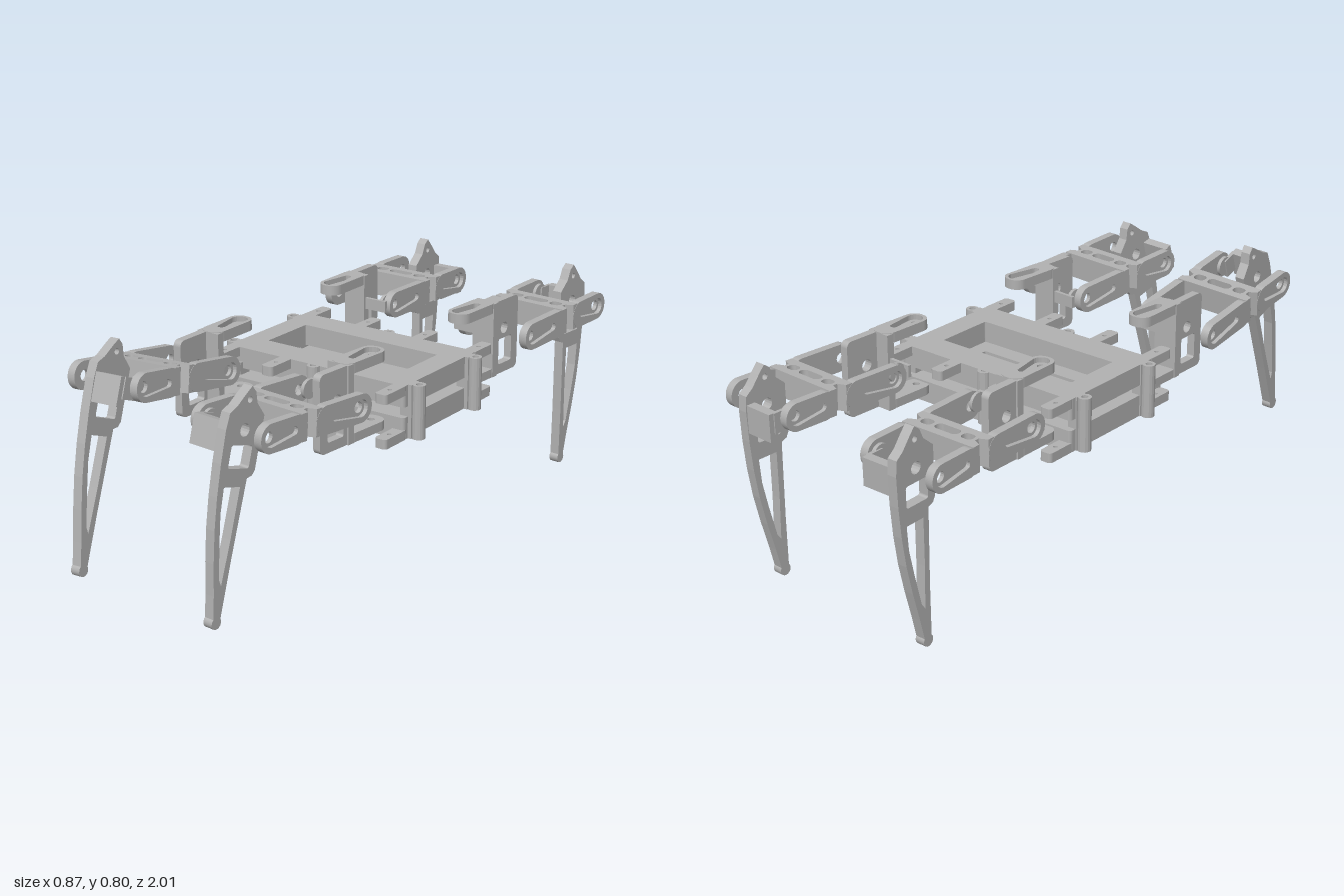
import * as THREE from 'three';

const grey = new THREE.MeshStandardMaterial({ color: 0xb0b0b0 });
grey.name = 'grey plastic';

const mesh = (name, geometry) => {
  const m = new THREE.Mesh(geometry, grey);
  m.name = name;
  return m;
};
const poly = (pts, Type = THREE.Shape) => new Type(pts.map(([a, b]) => new THREE.Vector2(a, b)));

// Rounded rectangle, optionally as a hole
function rounded(x0, y0, x1, y1, r, Type = THREE.Shape) {
  const s = new Type();
  s.moveTo(x0 + r, y0);
  s.lineTo(x1 - r, y0);
  s.absarc(x1 - r, y0 + r, r, -Math.PI / 2, 0);
  s.absarc(x1 - r, y1 - r, r, 0, Math.PI / 2);
  s.absarc(x0 + r, y1 - r, r, Math.PI / 2, Math.PI);
  s.absarc(x0 + r, y0 + r, r, Math.PI, Math.PI * 1.5);
  return s;
}
const slot = (x0, y0, x1, y1, r) => rounded(x0, y0, x1, y1, r, THREE.Path);
function disc(x, y, r, Type = THREE.Path) {
  const p = new Type();
  p.absarc(x, y, r, 0, Math.PI * 2);
  return p;
}
// Teardrop pocket for a servo arm: big end at the joint, small end at distance len (may be negative)
function teardrop(x, len, vertical) {
  const pts = [];
  for (let i = 0; i <= 10; i++) {
    const a = Math.PI / 2 + (Math.PI * i) / 10;
    pts.push([x + Math.sign(len) * 0.028 * Math.cos(a), 0.028 * Math.sin(a)]);
  }
  for (let i = 0; i <= 6; i++) {
    const a = -Math.PI / 2 + (Math.PI * i) / 6;
    pts.push([x + len + Math.sign(len) * 0.013 * Math.cos(a), 0.013 * Math.sin(a)]);
  }
  return poly(vertical ? pts.map(([a, b]) => [b, a]) : pts, THREE.Path);
}

function extrude(shape, depth, holes) {
  shape.holes.push(...holes);
  return new THREE.ExtrudeGeometry(shape, { depth, bevelEnabled: false, curveSegments: 8 });
}
// Horizontal slab: shape in (x, z), between two heights
const slab = (shape, y0, y1, ...holes) =>
  extrude(shape, y1 - y0, holes).rotateX(Math.PI / 2).translate(0, y1, 0);
// Upright plate: shape in (z, y), centred on x
const upright = (shape, x, t, ...holes) =>
  extrude(shape, t, holes).translate(0, 0, -t / 2).rotateY(-Math.PI / 2).translate(x, 0, 0);
const box = (x0, x1, y0, y1, z0, z1) =>
  new THREE.BoxGeometry(Math.abs(x1 - x0), y1 - y0, z1 - z0)
    .translate((x0 + x1) / 2, (y0 + y1) / 2, (z0 + z1) / 2);

function makeBody() {
  const body = new THREE.Group();
  body.name = 'body';
  const decks = [
    { name: 'lower', y0: 0.425, y1: 0.498, t0: 0.425, t1: 0.457 },
    { name: 'upper', y0: 0.533, y1: 0.605, t0: 0.573, t1: 0.605 },
  ];
  for (const d of decks) {
    body.add(mesh(d.name + 'Deck', slab(rounded(-0.37, -0.285, 0.33, 0.135, 0.012), d.y0, d.y1,
      slot(-0.29, -0.18, 0.245, 0.027, 0.004))));
    // Servo tabs on both ends
    for (const x of [-0.348, -0.136, 0.098, 0.31]) {
      body.add(mesh(d.name + 'FrontTab', slab(rounded(x - 0.022, 0.12, x + 0.022, 0.237, 0.012), d.t0, d.t1,
        disc(x, 0.185, 0.007))));
      body.add(mesh(d.name + 'RearTab', slab(rounded(x - 0.022, -0.382, x + 0.022, -0.27, 0.012), d.t0, d.t1,
        disc(x, -0.33, 0.007))));
    }
  }
  // Screw posts joining the decks
  for (const [x, z] of [[-0.388, -0.238], [-0.388, 0.09], [0.357, -0.238], [0.357, 0.09], [-0.02, -0.283], [-0.02, 0.138]]) {
    body.add(mesh('screwPost', slab(disc(x, z, 0.022, THREE.Shape), 0.425, 0.605, disc(x, z, 0.011))));
  }
  // Webs tying the side posts to the decks
  for (const z of [-0.238, 0.09]) {
    body.add(mesh('postWeb', box(-0.374, -0.34, 0.425, 0.605, z - 0.022, z + 0.022)));
    body.add(mesh('postWeb', box(0.3, 0.343, 0.425, 0.605, z - 0.022, z + 0.022)));
  }
  return body;
}

// Hip bracket: C-shaped arms around the vertical pivot, with a servo plate; s is the outer side
function makeHip(s) {
  const hip = new THREE.Group();
  hip.name = 'hipBracket';
  const armShape = () => rounded(-0.04, -0.038, 0.04, 0.16, 0.036);
  hip.add(mesh('hipLowerArm', slab(armShape(), 0.462, 0.492, disc(0, 0, 0.012))));
  hip.add(mesh('hipUpperArm', slab(armShape(), 0.688, 0.705, disc(0, 0, 0.012))));
  hip.add(mesh('hipUpperArmRim', slab(armShape(), 0.705, 0.722, teardrop(0, 0.09, true))));
  hip.add(mesh('hipWall', box(-0.042, 0.042, 0.462, 0.72, 0.133, 0.16)));
  hip.add(mesh('hipServoPlate', upright(rounded(0.133, 0.462, 0.285, 0.72, 0.02), s * 0.022, 0.028,
    slot(0.175, 0.495, 0.25, 0.585, 0.008), disc(0.205, 0.62, 0.02))));
  hip.add(mesh('hipServoTab', box(-s * 0.03, -s * 0.125, 0.6, 0.64, 0.14, 0.152)));
  hip.add(mesh('hipHorn', new THREE.CylinderGeometry(0.032, 0.032, 0.012, 20)
    .rotateZ(Math.PI / 2).translate(-s * 0.1, 0.62, 0.18)));
  return hip;
}

// Upper leg: two forks back to back, joints at z = 0 and z = 0.4
function makeUpperLeg() {
  const leg = new THREE.Group();
  leg.name = 'upperLeg';
  const spine = poly([[-0.139, 0.18], [0.139, 0.18], [0.139, 0.205], [0.112, 0.217], [0.112, 0.233], [0.139, 0.245],
    [0.139, 0.27], [-0.139, 0.27], [-0.139, 0.245], [-0.112, 0.233], [-0.112, 0.217], [-0.139, 0.205]]);
  leg.add(mesh('forkBridge', slab(spine, -0.044, 0.044, slot(-0.045, 0.208, 0.045, 0.242, 0.016),
    slot(-0.1, 0.208, -0.058, 0.242, 0.015), slot(0.058, 0.208, 0.1, 0.242, 0.015))));
  const arms = [
    { name: 'innerForkArm', z0: -0.047, z1: 0.205, joint: 0, len: 0.12 },
    { name: 'outerForkArm', z0: 0.245, z1: 0.445, joint: 0.4, len: -0.1 },
  ];
  for (const side of [-1, 1]) {
    for (const a of arms) {
      const shape = () => rounded(a.z0, -0.046, a.z1, 0.046, 0.045);
      leg.add(mesh(a.name, upright(shape(), side * 0.119, 0.014, disc(a.joint, 0, 0.018))));
      leg.add(mesh(a.name + 'Rim', upright(shape(), side * 0.133, 0.014, teardrop(a.joint, a.len, false))));
    }
  }
  return leg;
}

// Lower leg: curved open strut with a servo mount around the knee at the origin
function makeLowerLeg(s) {
  const leg = new THREE.Group();
  leg.name = 'lowerLeg';
  const outline = poly([[0, 0.13], [-0.02, 0.115], [-0.035, 0.08], [-0.074, 0.045], [-0.074, -0.12], [-0.065, -0.137],
    [-0.045, -0.145], [-0.042, -0.25], [-0.038, -0.4], [-0.036, -0.585], [-0.01, -0.59], [0.01, -0.5], [0.035, -0.4],
    [0.056, -0.3], [0.07, -0.2], [0.078, -0.1], [0.081, 0], [0.076, 0.05], [0.05, 0.07], [0.022, 0.105]]);
  const window = poly([[-0.022, -0.17], [0.048, -0.17], [0.043, -0.25], [0.025, -0.34], [0, -0.45], [-0.014, -0.47],
    [-0.02, -0.33]]);
  const x = s * 0.018;
  leg.add(mesh('legStrut', upright(outline, x, 0.034, slot(-0.045, -0.115, 0.045, -0.045, 0.008), window,
    disc(0, 0, 0.02), disc(0, 0.09, 0.01))));
  leg.add(mesh('foot', new THREE.CylinderGeometry(0.02, 0.02, 0.034, 16).rotateZ(Math.PI / 2).translate(x, -0.584, -0.022)));
  leg.add(mesh('kneeServoWall', box(x, x - s * 0.118, -0.07, 0.022, 0.046, 0.077)));
  leg.add(mesh('kneeHorn', new THREE.CylinderGeometry(0.034, 0.034, 0.012, 20)
    .rotateZ(Math.PI / 2).translate(-s * 0.103, 0, 0)));
  leg.add(mesh('kneeServoTab', box(-s * 0.092, -s * 0.104, -0.046, 0.022, 0.0, 0.06)));
  return leg;
}

export function createModel() {
  const model = new THREE.Group();
  model.name = 'walkingRobot';
  model.add(makeBody());

  // Pose of each leg: hip position, yaw, upper leg offset, pitch and roll, lower leg swing
  const legs = [
    { name: 'frontLeftLeg', side: 1, x: 0.24, z: 0.185, yaw: -0.078, off: -0.004, y: 0.62, pitch: 0.055, roll: 0, swing: 0.275 },
    { name: 'frontRightLeg', side: -1, x: -0.285, z: 0.185, yaw: 0, off: 0.008, y: 0.623, pitch: 0.15, roll: 0.05, swing: 0.372 },
    { name: 'rearLeftLeg', side: 1, x: 0.25, z: -0.31, yaw: -0.05, off: 0.014, y: 0.612, pitch: 0.02, roll: 0, swing: -0.02 },
    { name: 'rearRightLeg', side: -1, x: -0.282, z: -0.32, yaw: 0, off: 0.008, y: 0.615, pitch: -0.02, roll: 0, swing: -0.02 },
  ];
  for (const p of legs) {
    const rear = p.z < 0;
    const s = rear ? -p.side : p.side;
    const leg = new THREE.Group();
    leg.name = p.name;
    leg.position.set(p.x, 0, p.z);
    leg.rotation.y = p.yaw + (rear ? Math.PI : 0);
    const upper = makeUpperLeg();
    upper.position.set(s * p.off, p.y, 0.208);
    upper.rotation.set(-p.pitch, 0, p.roll);
    const lower = makeLowerLeg(s);
    lower.position.z = 0.4;
    lower.rotation.x = p.pitch - p.swing;
    upper.add(lower);
    leg.add(makeHip(s), upper);
    model.add(leg);
  }
  return model;
}
